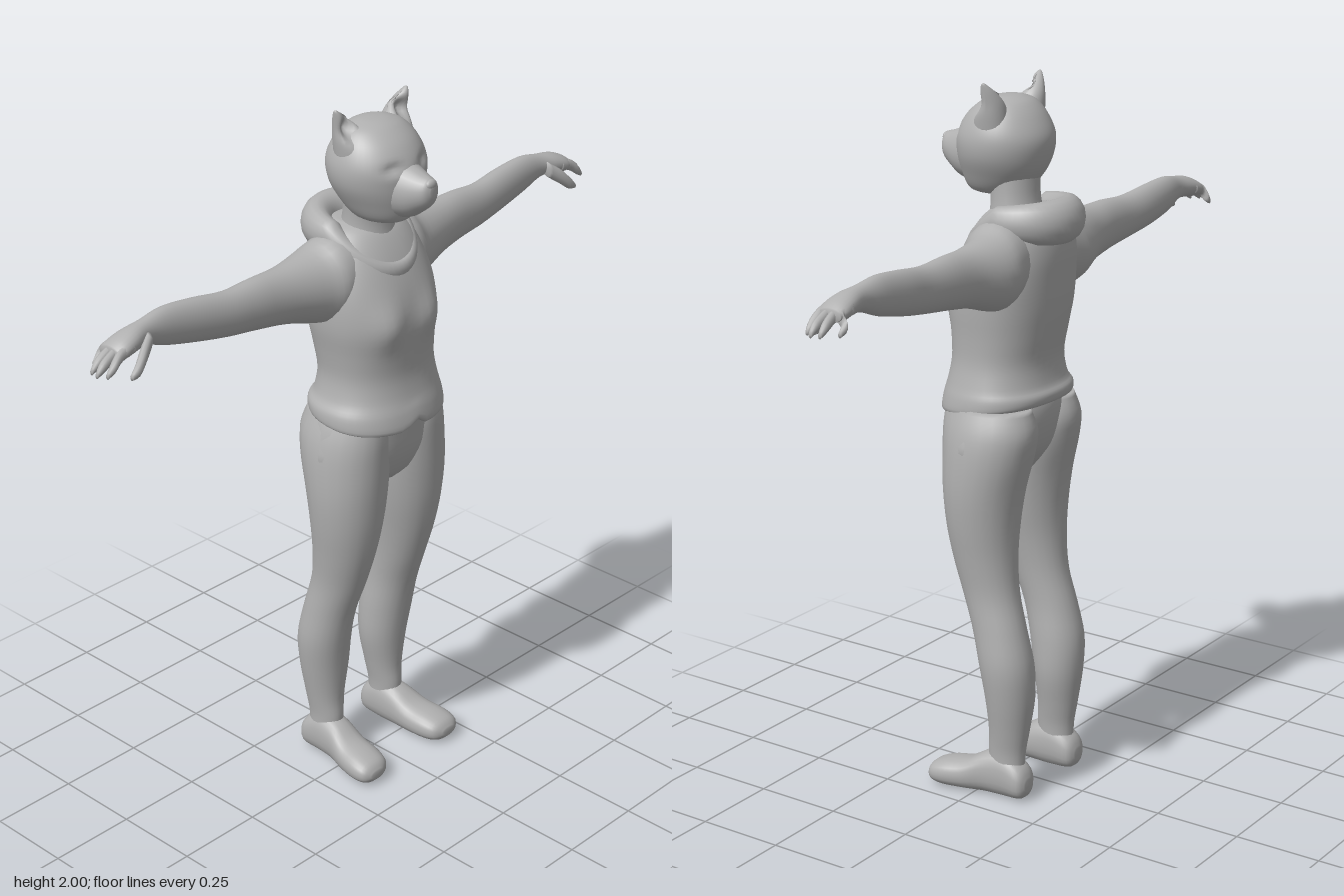
import * as THREE from 'three';

const grey = new THREE.MeshStandardMaterial({ color: 0xb0b0b0 });
grey.name = 'clay grey';

// Skin a list of rings; join the last ring to the first or cap both ends
function skin(name, rings, closed = false) {
  const n = rings[0].length, m = rings.length, index = [];
  const points = rings.flat();
  for (let i = 0; i < (closed ? m : m - 1); i++) {
    for (let j = 0; j < n; j++) {
      const a = i * n + j, b = i * n + (j + 1) % n, k = ((i + 1) % m) * n;
      const c = k + (j + 1) % n, d = k + j;
      index.push(a, b, c, a, c, d);
    }
  }
  if (!closed) {
    for (const end of [0, m - 1]) {
      const centre = new THREE.Vector3();
      rings[end].forEach(p => centre.addScaledVector(p, 1 / n));
      const c = points.push(centre) - 1;
      for (let j = 0; j < n; j++) {
        const a = end * n + j, b = end * n + (j + 1) % n;
        if (end === 0) index.push(c, b, a); else index.push(c, a, b);
      }
    }
  }
  const geometry = new THREE.BufferGeometry().setFromPoints(points);
  geometry.setIndex(index);
  geometry.computeVertexNormals();
  const mesh = new THREE.Mesh(geometry, grey);
  mesh.name = name;
  return mesh;
}

// Smooth loft along an axis. Sections hold the position and the limits across:
// y: [y, x0, x1, z0, z1]   x: [x, y0, y1, z0, z1]   z: [z, x0, x1, y0, y1]
function loft(name, axis, sections, { sides = 24, steps = 4, side = 1, square = 1, bend } = {}) {
  const spline = (p0, p1, p2, p3, t) => p1 + 0.5 * t * (p2 - p0 + t * (2 * p0 - 5 * p1 + 4 * p2 - p3 + t * (3 * (p1 - p2) + p3 - p0)));
  const rings = [], last = sections.length - 1;
  const power = v => Math.sign(v) * Math.abs(v) ** square;
  for (let i = 0; i <= last * steps; i++) {
    const k = Math.min(Math.floor(i / steps), last - 1), t = i / steps - k;
    const at = q => sections[Math.max(0, Math.min(last, q))];
    const s = at(k).map((_, e) => spline(at(k - 1)[e], at(k)[e], at(k + 1)[e], at(k + 2)[e], t));
    const ring = [];
    for (let j = 0; j < sides; j++) {
      const a = j / sides * Math.PI * 2;
      // Y lofts run from z towards x so that faces point outwards
      const c = power(axis === 'y' ? Math.sin(a) : Math.cos(a));
      const d = power(axis === 'y' ? Math.cos(a) : Math.sin(a));
      const p = (s[1] + s[2]) / 2 + c * (s[2] - s[1]) / 2;
      const q = (s[3] + s[4]) / 2 + d * (s[4] - s[3]) / 2;
      const v = axis === 'y' ? new THREE.Vector3(p, s[0], q)
        : axis === 'x' ? new THREE.Vector3(s[0], p, q) : new THREE.Vector3(p, q, s[0]);
      if (bend) bend(v);
      v.x *= side;
      ring.push(v);
    }
    // Mirroring turns the faces over, so reverse the ring
    if (side < 0) ring.reverse();
    rings.push(ring);
  }
  return skin(name, rings);
}

const bump = (d, w) => Math.exp(-((d / w) ** 2));

function makeHead() {
  const head = new THREE.Group();
  head.name = 'head';
  head.position.x = -0.012;
  head.add(loft('skull', 'y', [
    [1.685, -0.03, 0.03, 0, 0.09], [1.7, -0.075, 0.075, -0.045, 0.125], [1.75, -0.108, 0.108, -0.09, 0.143],
    [1.8, -0.13, 0.13, -0.11, 0.15], [1.85, -0.133, 0.133, -0.113, 0.148], [1.9, -0.115, 0.115, -0.09, 0.12],
    [1.935, -0.085, 0.085, -0.06, 0.08], [1.95, -0.045, 0.045, -0.03, 0.045], [1.954, -0.01, 0.01, -0.005, 0.01],
  ], {
    sides: 48, steps: 6,
    // Eye sockets
    bend: v => { if (v.z > 0) v.z -= 0.014 * bump(Math.abs(v.x) - 0.055, 0.022) * bump(v.y - 1.852, 0.014); },
  }));
  head.add(loft('snout', 'z', [
    [0.09, -0.075, 0.075, 1.7, 1.875], [0.15, -0.056, 0.056, 1.715, 1.853], [0.185, -0.042, 0.042, 1.738, 1.84],
    [0.21, -0.028, 0.028, 1.76, 1.832], [0.22, -0.01, 0.01, 1.785, 1.815],
  ]));
  const nose = new THREE.Mesh(new THREE.SphereGeometry(0.02, 16, 12), grey);
  nose.name = 'nose';
  nose.scale.set(1, 0.75, 0.6);
  nose.position.set(0, 1.818, 0.209);
  head.add(nose);
  for (const side of [1, -1]) {
    head.add(loft('ear', 'y', [
      [1.87, 0.045, 0.125, -0.04, 0.06], [1.91, 0.045, 0.13, -0.04, 0.055], [1.945, 0.062, 0.131, -0.035, 0.04],
      [1.975, 0.094, 0.134, -0.022, 0.022], [1.995, 0.122, 0.136, -0.008, 0.008], [2, 0.13, 0.134, -0.002, 0.002],
    ], {
      side,
      // Hollow front of the ear
      bend: v => { if (v.z > 0) v.z -= 0.05 * bump(v.x - 0.1, 0.022) * bump(v.y - 1.945, 0.03); },
    }));
  }
  return head;
}

function makeArm(side) {
  const arm = new THREE.Group();
  arm.name = side > 0 ? 'leftArm' : 'rightArm';
  // The right arm reaches slightly further forward
  const options = {
    side, bend: v => { if (side < 0) v.z += 0.03 * Math.min(1, v.x / 0.4); },
  };
  arm.add(loft('sleeve', 'x', [
    [0.05, 1.44, 1.65, -0.13, 0.04], [0.14, 1.41, 1.642, -0.15, 0.05], [0.2, 1.415, 1.618, -0.155, 0.025],
    [0.3, 1.445, 1.605, -0.132, -0.005], [0.4, 1.462, 1.605, -0.125, -0.025], [0.5, 1.475, 1.6, -0.12, -0.035],
    [0.6, 1.492, 1.612, -0.125, -0.045], [0.7, 1.515, 1.62, -0.122, -0.055], [0.77, 1.54, 1.61, -0.113, -0.058],
    [0.82, 1.54, 1.602, -0.12, -0.045], [0.86, 1.535, 1.588, -0.125, -0.04], [0.885, 1.54, 1.572, -0.12, -0.05],
  ], options));
  // Fingers: [tip x, tip z, base z]
  for (const [x, z, base] of [[0.925, -0.048, -0.053], [0.94, -0.07, -0.073], [0.935, -0.095, -0.093], [0.9, -0.128, -0.112]]) {
    arm.add(loft('finger', 'x', [
      [0.835, 1.55, 1.582, base - 0.012, base + 0.012], [0.875, 1.54, 1.573, base - 0.012, base + 0.012],
      [x - 0.02, 1.52, 1.55, z - 0.011, z + 0.011], [x, 1.51, 1.525, z - 0.005, z + 0.005],
    ], { ...options, sides: 10 }));
  }
  arm.add(loft('thumb', 'x', [
    [0.78, 1.545, 1.59, -0.07, -0.04], [0.815, 1.52, 1.565, -0.052, -0.022],
    [0.845, 1.498, 1.535, -0.038, -0.014], [0.868, 1.495, 1.51, -0.03, -0.018],
  ], { ...options, sides: 10 }));
  return arm;
}

function makeLeg(side) {
  const leg = new THREE.Group();
  leg.name = side > 0 ? 'leftLeg' : 'rightLeg';
  leg.position.x = 0.012;
  leg.add(loft('trouserLeg', 'y', [
    [0.06, 0.085, 0.165, -0.14, -0.035], [0.13, 0.082, 0.165, -0.142, -0.03], [0.2, 0.07, 0.175, -0.152, -0.033],
    [0.3, 0.052, 0.192, -0.165, -0.024], [0.4, 0.052, 0.203, -0.165, -0.008], [0.5, 0.057, 0.198, -0.142, 0.015],
    [0.6, 0.05, 0.195, -0.115, 0.05], [0.7, 0.036, 0.206, -0.105, 0.08], [0.8, 0.018, 0.22, -0.108, 0.1],
    [0.9, 0.004, 0.228, -0.122, 0.11], [1, -0.005, 0.225, -0.148, 0.115], [1.07, 0, 0.213, -0.158, 0.118],
    [1.13, 0.02, 0.19, -0.14, 0.115],
  ], { side }));
  leg.add(loft('foot', 'z', [
    [-0.162, 0.11, 0.145, 0.03, 0.065], [-0.145, 0.085, 0.168, 0.006, 0.1], [-0.09, 0.078, 0.172, 0, 0.135],
    [-0.03, 0.078, 0.178, 0, 0.125], [0.03, 0.08, 0.195, 0, 0.092], [0.09, 0.085, 0.206, 0, 0.08],
    [0.13, 0.1, 0.2, 0.006, 0.066], [0.147, 0.13, 0.175, 0.022, 0.045],
  ], { side, square: 0.85 }));
  return leg;
}

// Rolled hood lying around the neck, thick at the back and thin at the front
function makeHood() {
  const rings = [];
  for (let i = 0; i < 48; i++) {
    const a = -i / 48 * Math.PI * 2, back = (1 - Math.cos(a)) / 2, ring = [];
    const out = 0.018 + 0.03 * back, high = 0.025 + 0.037 * back;
    for (let j = 0; j < 16; j++) {
      const f = j / 16 * Math.PI * 2, r = out * Math.cos(f);
      ring.push(new THREE.Vector3(
        Math.sin(a) * (0.115 + r),
        1.545 + 0.09 * Math.min(1, back * 2) + high * Math.sin(f),
        -0.04 + Math.cos(a) * (0.13 + r)));
    }
    rings.push(ring);
  }
  return skin('hood', rings, true);
}

export function createModel() {
  const model = new THREE.Group();
  model.name = 'catPerson';
  model.add(makeHead(), makeHood());
  model.add(loft('neck', 'y', [
    [1.52, -0.1, 0.1, -0.12, 0.07], [1.6, -0.085, 0.085, -0.11, 0.055],
    [1.68, -0.075, 0.072, -0.085, 0.045], [1.78, -0.085, 0.07, -0.08, 0.06],
  ]));
  model.add(loft('jacket', 'y', [
    [1.115, -0.18, 0.19, -0.14, 0.135], [1.122, -0.19, 0.202, -0.157, 0.16], [1.155, -0.188, 0.2, -0.16, 0.155],
    [1.19, -0.17, 0.19, -0.146, 0.142], [1.25, -0.16, 0.178, -0.138, 0.132], [1.32, -0.168, 0.178, -0.148, 0.135],
    [1.4, -0.182, 0.184, -0.16, 0.138], [1.48, -0.183, 0.186, -0.166, 0.125], [1.55, -0.172, 0.172, -0.168, 0.1],
    [1.61, -0.148, 0.148, -0.158, 0.068], [1.65, -0.11, 0.11, -0.13, 0.035], [1.665, -0.07, 0.07, -0.1, 0],
  ], {
    sides: 48, square: 0.88,
    bend: v => {
      const { x, y, z } = v;
      // Chest, then the hem dipping at the front with a notch in the middle
      if (z > 0) v.z += 0.02 * bump(Math.abs(x) - 0.08, 0.05) * bump(y - 1.41, 0.06);
      const low = Math.max(0, Math.min(1, (1.18 - y) / 0.06));
      v.y -= low * (0.12 * z - (z > 0 ? 0.025 * bump(x, 0.025) : 0));
    },
  }));
  model.add(loft('hips', 'y', [
    [0.91, -0.03, 0.05, -0.05, 0.06], [0.94, -0.15, 0.17, -0.08, 0.085], [1, -0.208, 0.232, -0.12, 0.108],
    [1.07, -0.2, 0.223, -0.14, 0.118], [1.13, -0.18, 0.198, -0.14, 0.122], [1.18, -0.15, 0.17, -0.12, 0.11],
  ], { sides: 32 }));
  for (const side of [1, -1]) model.add(makeArm(side), makeLeg(side));
  return model;
}
